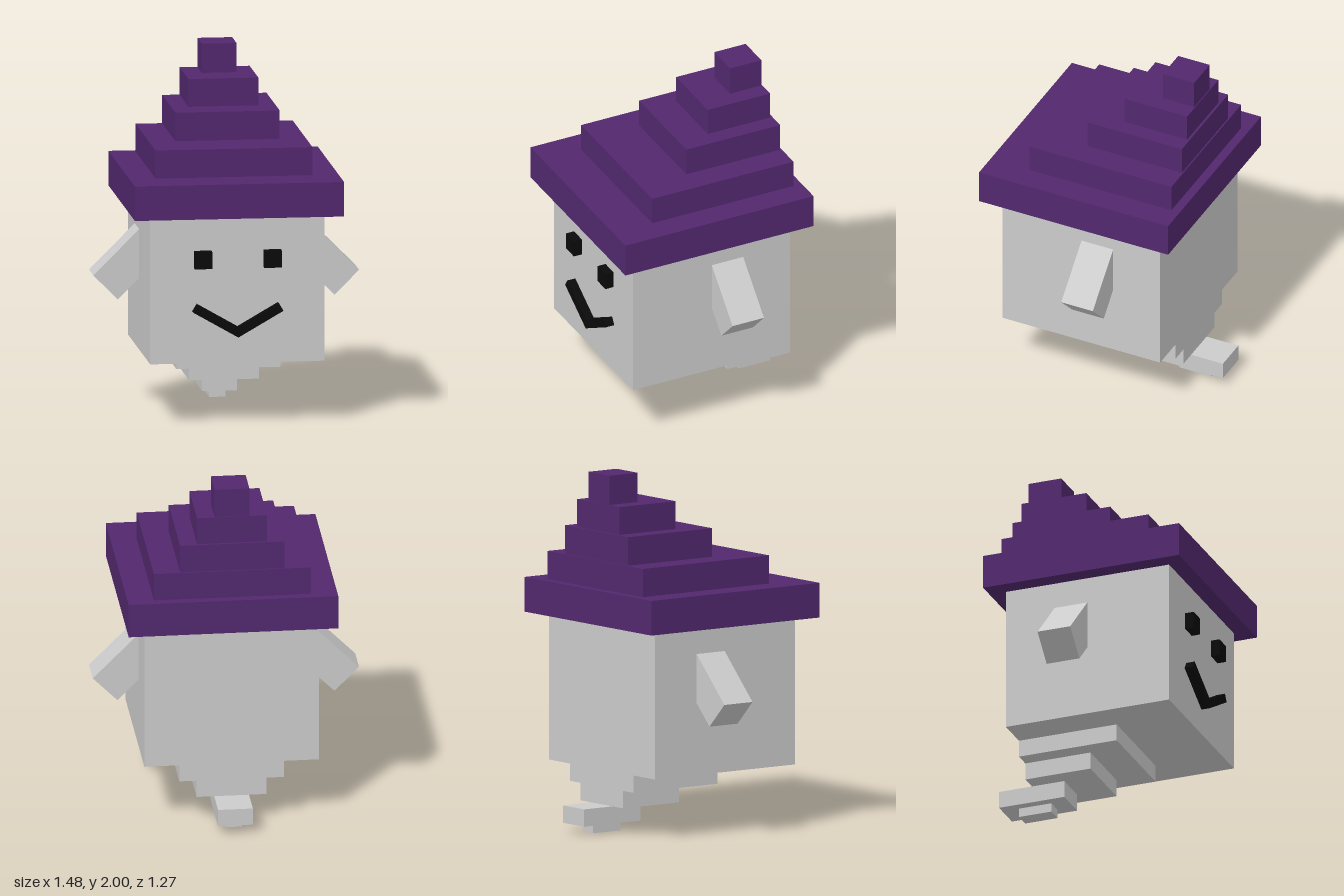
import * as THREE from 'three';

const material = (color) => new THREE.MeshStandardMaterial({ color, flatShading: true });

export function createModel() {
  const model = new THREE.Group();
  const grey = material(0xcccccc);
  const purple = material(0x52286e);
  const black = material(0x0a0a0a);

  // Box given by half width, bottom, top, back and front
  function block(name, mat, halfWidth, y0, y1, z0, z1, x = 0, parent = model) {
    const mesh = new THREE.Mesh(new THREE.BoxGeometry(halfWidth * 2, y1 - y0, z1 - z0), mat);
    mesh.name = name;
    mesh.position.set(x, (y0 + y1) / 2, (z0 + z1) / 2);
    parent.add(mesh);
    return mesh;
  }

  block('body', grey, 0.486, 0.343, 1.168, -0.436, 0.536);

  // Stepped hat leaning to the back: half width, bottom, top, back, front
  const hat = new THREE.Group();
  hat.name = 'hat';
  model.add(hat);
  [
    [0.584, 1.168, 1.362, -0.533, 0.634],
    [0.438, 1.362, 1.52, -0.482, 0.394],
    [0.291, 1.52, 1.68, -0.474, 0.108],
    [0.195, 1.68, 1.836, -0.46, -0.073],
    [0.097, 1.836, 2, -0.455, -0.261],
  ].forEach((t, i) => block(i ? 'hatTier' + i : 'hatBrim', purple, ...t, 0, hat));

  // Stepped tail tapering down and back
  const tail = new THREE.Group();
  tail.name = 'tail';
  model.add(tail);
  [
    [0.291, 0.246, 0.343, -0.436, 0.146],
    [0.195, 0.148, 0.246, -0.436, -0.048],
    [0.097, 0.051, 0.148, -0.632, -0.243],
    [0.046, 0, 0.051, -0.533, -0.34],
  ].forEach((t, i) => block('tailTier' + (i + 1), grey, ...t, 0, tail));

  // Arms slanting down at 45 degrees, and eyes
  for (const s of [1, -1]) {
    const side = s > 0 ? 'left' : 'right';
    const arm = block(side + 'Arm', grey, 0.097, 0.624, 1.114, -0.146, 0.049, s * 0.5);
    arm.rotation.z = s * Math.PI / 4;
    block(side + 'Eye', black, 0.049, 0.88, 0.976, 0.5, 0.586, s * 0.194);
  }

  // V-shaped smile
  const smile = new THREE.Shape([
    [0, 0.492], [0.252, 0.637], [0.227, 0.679], [0, 0.548], [-0.227, 0.679], [-0.252, 0.637],
  ].map(([x, y]) => new THREE.Vector2(x, y)));
  const mouth = new THREE.Mesh(
    new THREE.ExtrudeGeometry(smile, { depth: 0.086, bevelEnabled: false }), black);
  mouth.name = 'mouth';
  mouth.position.z = 0.5;
  model.add(mouth);

  return model;
}
